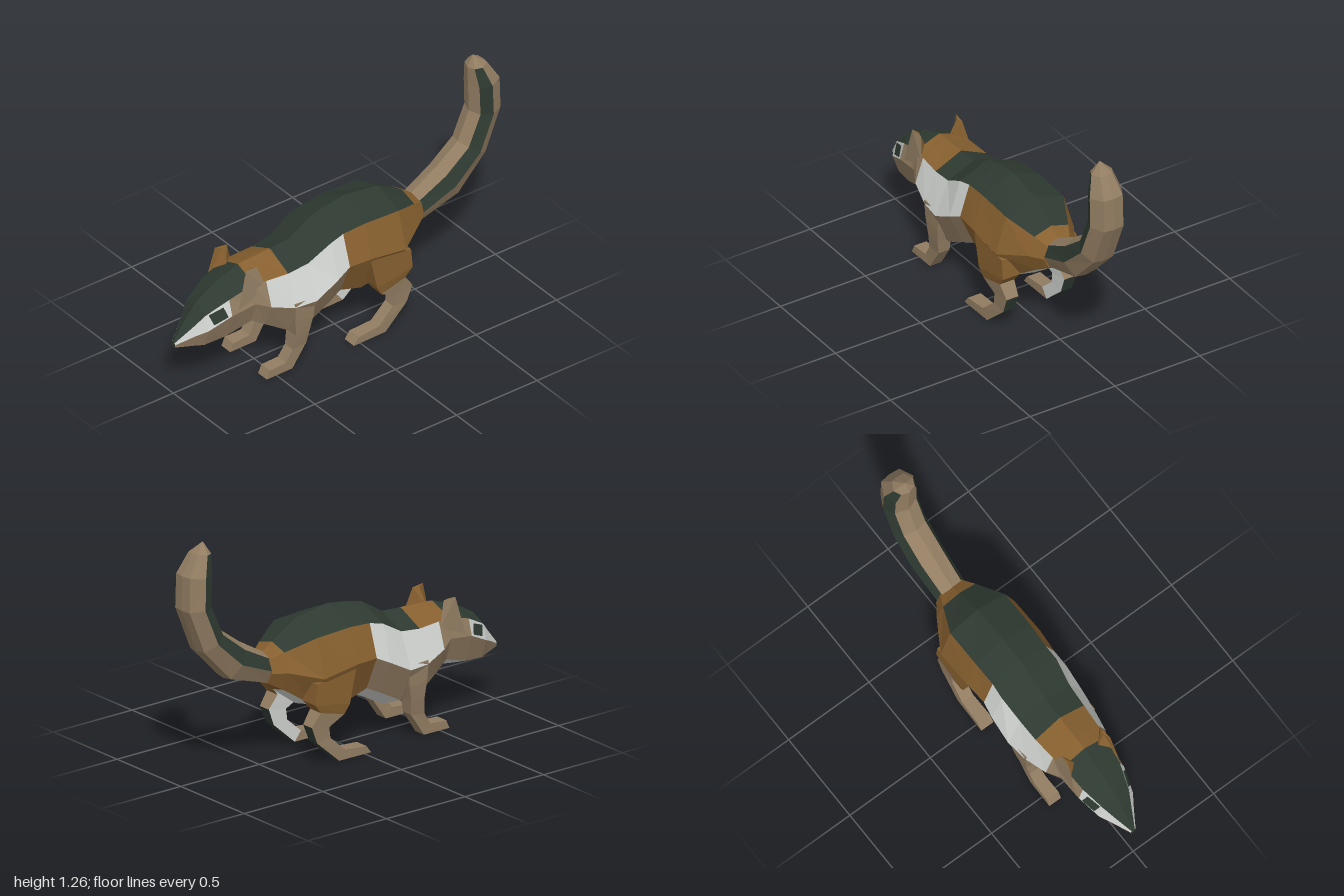
import * as THREE from 'three';

const material = (name, color) => {
  const m = new THREE.MeshStandardMaterial({ color });
  m.name = name;
  return m;
};

// Joins closed rings of points into a faceted solid; paint(ring, segment) names each face's colour.
function loft(name, rings, paint, mats) {
  const byColour = {};
  const add = (key, a, b, c) => (byColour[key] ??= []).push([a, b, c]);
  const n = rings[0].length, last = rings.length - 1;
  for (let i = 0; i < last; i++) {
    for (let j = 0; j < n; j++) {
      const k = (j + 1) % n;
      add(paint(i, j), rings[i][j], rings[i][k], rings[i + 1][k]);
      add(paint(i, j), rings[i][j], rings[i + 1][k], rings[i + 1][j]);
    }
  }
  for (let j = 1; j < n - 1; j++) {
    add(paint(0, 0), rings[0][0], rings[0][j + 1], rings[0][j]);
    add(paint(last - 1, 0), rings[last][0], rings[last][j], rings[last][j + 1]);
  }
  // A negative volume means the corners run the wrong way round
  let volume = 0;
  const v = (p) => new THREE.Vector3(...p);
  for (const t of Object.values(byColour).flat()) volume += v(t[0]).dot(v(t[1]).cross(v(t[2])));

  const geometry = new THREE.BufferGeometry();
  const positions = [], used = [];
  for (const [key, tris] of Object.entries(byColour)) {
    geometry.addGroup(positions.length / 3, tris.length * 3, used.length);
    used.push(mats[key]);
    for (const [a, b, c] of tris) positions.push(...a, ...(volume < 0 ? [...c, ...b] : [...b, ...c]));
  }
  geometry.setAttribute('position', new THREE.Float32BufferAttribute(positions, 3));
  geometry.computeVertexNormals();
  const mesh = new THREE.Mesh(geometry, used);
  mesh.name = name;
  return mesh;
}

// Completes a ring from its left half, whose first and last points lie on the centre plane
const mirrorRing = (half) => [...half, ...half.slice(1, -1).reverse().map(([x, y, z]) => [-x, y, z])];

export function createModel() {
  const group = new THREE.Group();
  group.name = 'rodent';
  const mats = {
    tan: material('tan fur', 0x927d62),
    brown: material('brown fur', 0x87602f),
    dark: material('dark green fur', 0x2e3a31),
    white: material('white fur', 0xd0d3cf),
  };

  // Body and head stations, nose to rump: z, spine y, back edge x y, flank x y, belly edge x y, keel y
  const stations = [
    [1.0, 0.31, 0.01, 0.305, 0.015, 0.295, 0.012, 0.28, 0.275],
    [0.92, 0.42, 0.05, 0.385, 0.065, 0.34, 0.045, 0.275, 0.262],
    [0.86, 0.49, 0.08, 0.45, 0.105, 0.37, 0.07, 0.27, 0.25],
    [0.74, 0.56, 0.115, 0.515, 0.14, 0.43, 0.09, 0.285, 0.25],
    [0.6, 0.61, 0.13, 0.56, 0.15, 0.45, 0.11, 0.33, 0.27],
    [0.53, 0.615, 0.14, 0.555, 0.185, 0.42, 0.13, 0.29, 0.24],
    [0.4, 0.62, 0.15, 0.55, 0.215, 0.38, 0.15, 0.21, 0.17],
    [0.28, 0.63, 0.155, 0.565, 0.23, 0.38, 0.15, 0.2, 0.14],
    [0.15, 0.71, 0.17, 0.64, 0.23, 0.45, 0.15, 0.27, 0.21],
    [0.07, 0.73, 0.165, 0.66, 0.22, 0.49, 0.14, 0.31, 0.25],
    [-0.06, 0.75, 0.17, 0.67, 0.23, 0.49, 0.14, 0.27, 0.23],
    [-0.27, 0.72, 0.17, 0.66, 0.23, 0.46, 0.13, 0.3, 0.27],
    [-0.42, 0.63, 0.1, 0.6, 0.14, 0.5, 0.09, 0.4, 0.38],
    [-0.49, 0.58, 0.065, 0.565, 0.09, 0.5, 0.06, 0.44, 0.43],
  ];
  const bodyRings = stations.map(([z, t, dx, dy, mx, my, lx, ly, b]) =>
    mirrorRing([[0, t, z], [dx, dy, z], [mx, my, z], [lx, ly, z], [0, b, z]]));
  const bodyPaint = (i, j) => {
    const band = Math.min(j, 7 - j);
    if (band === 0) return i === 4 || i === 5 || i === 12 ? 'brown' : 'dark';
    if (band === 1) return i < 3 ? 'white' : i < 5 ? 'tan' : i < 9 ? 'white' : 'brown';
    if (band === 2) return i < 9 ? 'tan' : 'brown';
    return i === 12 ? 'brown' : 'white';
  };
  group.add(loft('body', bodyRings, bodyPaint, mats));

  // Tail: front z y, back z y, half width
  const tailStations = [
    [-0.46, 0.58, -0.47, 0.43, 0.085],
    [-0.63, 0.68, -0.73, 0.51, 0.095],
    [-0.765, 0.78, -0.9, 0.69, 0.095],
    [-0.835, 0.935, -0.995, 0.925, 0.095],
    [-0.83, 1.09, -0.99, 1.105, 0.093],
    [-0.825, 1.2, -0.925, 1.21, 0.06],
    [-0.86, 1.26, -0.86, 1.26, 0],
  ];
  const tailRings = tailStations.map(([fz, fy, bz, by, w]) => {
    const at = (x, t) => [x * w, fy + (by - fy) * t, fz + (bz - fz) * t];
    return mirrorRing([at(0, 0), at(0.7, 0.14), at(1, 0.52), at(0.6, 0.96), at(0, 1)]);
  });
  group.add(loft('tail', tailRings, (i, j) => ((j === 1 || j === 6) && i < 5 ? 'dark' : 'tan'), mats));

  // Legs: centre x, half width, front z y, back z y, from the body to the toes
  const frontLeg = [
    [0.165, 0.05, 0.405, 0.4, 0.275, 0.4],
    [0.165, 0.045, 0.4, 0.3, 0.29, 0.28],
    [0.16, 0.04, 0.39, 0.2, 0.305, 0.2],
    [0.155, 0.032, 0.4, 0.115, 0.315, 0.125],
    [0.15, 0.034, 0.44, 0.05, 0.4, 0],
    [0.15, 0.036, 0.54, 0.045, 0.56, 0],
  ];
  const hindLeg = [
    [0.165, 0.055, -0.06, 0.47, -0.31, 0.44],
    [0.17, 0.05, -0.1, 0.29, -0.32, 0.33],
    [0.17, 0.042, -0.13, 0.24, -0.28, 0.28],
    [0.17, 0.035, -0.22, 0.19, -0.33, 0.21],
    [0.17, 0.032, -0.21, 0.13, -0.295, 0.12],
    [0.175, 0.034, -0.12, 0.05, -0.16, 0],
    [0.175, 0.038, 0.01, 0.04, 0.04, 0],
  ];
  // Ring order gives the faces front, inside, back, outside
  const legRings = (rows, s) => rows.map(([x, w, fz, fy, bz, by]) =>
    [[s * (x + w), fy, fz], [s * (x - w), fy, fz], [s * (x - w), by, bz], [s * (x + w), by, bz]]);
  const frontPaint = (i, j) => (j === 1 && i < 3 ? 'white' : 'tan');
  const hindPaint = (i, j) => {
    if (j === 1) return i < 5 ? 'white' : 'tan';
    if (i < 2) return 'brown';
    return j === 2 && i > 2 && i < 5 ? 'dark' : 'tan';
  };

  for (const [side, s] of [['left', 1], ['right', -1]]) {
    group.add(loft(side + 'FrontLeg', legRings(frontLeg, s), frontPaint, mats));
    group.add(loft(side + 'HindLeg', legRings(hindLeg, s), hindPaint, mats));

    // Ear: brown inside and behind, tan outside
    const ear = [
      [[0.14, 0.45, 0.7], [0.065, 0.55, 0.62], [0.145, 0.51, 0.53]],
      [[0.128, 0.655, 0.645], [0.112, 0.65, 0.61], [0.122, 0.65, 0.575]],
    ].map((ring) => ring.map(([x, y, z]) => [s * x, y, z]));
    group.add(loft(side + 'Ear', ear, (i, j) => (j === 2 ? 'tan' : 'brown'), mats));

    // Eye: thin plate set on the white cheek
    const cheek = (u, v, lift) => {
      const [a, b] = [bodyRings[2], bodyRings[3]];
      const p = [0, 1, 2].map((k) => THREE.MathUtils.lerp(
        THREE.MathUtils.lerp(a[1][k], a[2][k], v), THREE.MathUtils.lerp(b[1][k], b[2][k], v), u));
      return [s * (p[0] + lift), p[1], p[2]];
    };
    const corners = [[0.12, 0.1], [0.72, 0.2], [0.84, 0.88], [0.25, 0.82]];
    const eye = [-0.003, 0.005].map((lift) => corners.map(([u, v]) => cheek(u, v, lift)));
    group.add(loft(side + 'Eye', eye, () => 'dark', mats));
  }
  return group;
}
